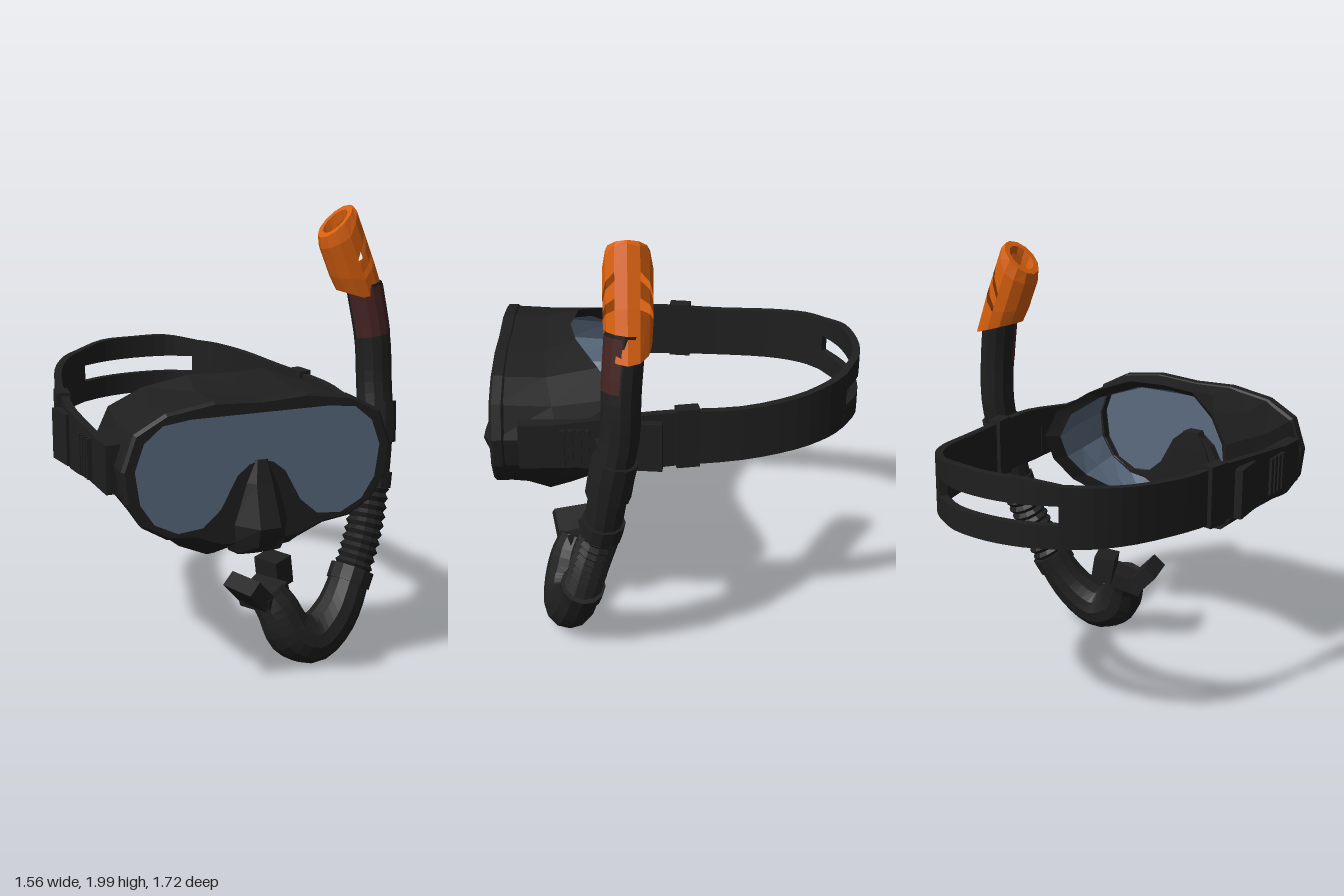
import * as THREE from 'three';

const V = (x, y, z) => new THREE.Vector3(x, y, z);
const MX = -0.125; // mask centre line

const mat = (name, color) => {
  const m = new THREE.MeshStandardMaterial({ color, flatShading: true, side: THREE.DoubleSide });
  m.name = name;
  return m;
};

// Skin a list of equal-length rings; cap closes the ends, skip leaves openings
function loft(rings, { cap = false, wrap = true, skip = () => false } = {}) {
  const rows = rings.slice();
  const n = rows[0].length;
  if (cap) {
    const collapse = r => {
      const c = r.reduce((a, p) => a.add(p), V(0, 0, 0)).divideScalar(n);
      return r.map(() => c);
    };
    rows.unshift(collapse(rings[0]));
    rows.push(collapse(rings[rings.length - 1]));
  }
  const pos = rows.flatMap(r => r.flatMap(p => [p.x, p.y, p.z]));
  const index = [];
  for (let i = 0; i < rows.length - 1; i++) {
    for (let j = 0; j < (wrap ? n : n - 1); j++) {
      if (skip(i, j)) continue;
      const a = i * n + j, b = i * n + (j + 1) % n;
      index.push(a, b, a + n, b, b + n, a + n);
    }
  }
  const g = new THREE.BufferGeometry();
  g.setAttribute('position', new THREE.Float32BufferAttribute(pos, 3));
  g.setIndex(index);
  g.computeVertexNormals();
  return g;
}

// Round tube of changing radius along part of a curve
function sweep(curve, t0, t1, steps, radius, { sides = 12, a0 = 0, a1 = Math.PI * 2, cap = true } = {}) {
  const full = a1 - a0 > 6.28;
  const rings = [];
  for (let i = 0; i <= steps; i++) {
    const t = t0 + (t1 - t0) * i / steps;
    const c = curve.getPoint(t), d = curve.getTangent(t);
    const n = V(0, 0, 1).cross(d).normalize();
    const b = d.clone().cross(n);
    rings.push(Array.from({ length: full ? sides : sides + 1 }, (_, j) => {
      const a = a0 + (a1 - a0) * j / sides, r = radius(t);
      return c.clone().addScaledVector(n, Math.cos(a) * r).addScaledVector(b, Math.sin(a) * r);
    }));
  }
  return loft(rings, { cap: full && cap, wrap: full });
}

// Flat band through [x, z, low, high] stations
function ribbon(stations, steps, thick = 0.034) {
  const lo = new THREE.CatmullRomCurve3(stations.map(s => V(s[0], s[2], s[1])), false, 'catmullrom');
  const hi = new THREE.CatmullRomCurve3(stations.map(s => V(s[0], s[3], s[1])), false, 'catmullrom');
  const rings = [];
  for (let i = 0; i <= steps; i++) {
    const t = i / steps, d = lo.getTangent(t).setY(0).normalize();
    const o = V(d.z, 0, -d.x).multiplyScalar(thick / 2);
    const l = lo.getPoint(t), h = hi.getPoint(t);
    rings.push([l.clone().add(o), h.clone().add(o), h.clone().sub(o), l.clone().sub(o)]);
  }
  return loft(rings, { cap: true });
}

// Mirror half of a mask outline [dx, y, z], listed from top centre to bottom centre
function mirrorRing(half, k = 1, dz = 0) {
  const p = ([x, y, z], s) => V(MX + s * x * k, 1 + (y - 1) * k, z + dz);
  return [...half.map(h => p(h, 1)), ...half.slice(1, -1).reverse().map(h => p(h, -1))];
}

export function createModel() {
  const group = new THREE.Group();
  const black = mat('blackRubber', 0x1f1f1f);
  const blue = mat('blueLens', 0x5a6b7f);
  const orange = mat('orangePlastic', 0xd8600f);
  const maroon = mat('darkRed', 0x442321);
  const add = (name, geo, m) => {
    const mesh = new THREE.Mesh(geo, m);
    mesh.name = name;
    group.add(mesh);
    return mesh;
  };
  const box = (name, x, y, z, w, h, d, rx = 0, ry = 0, rz = 0) => {
    const b = add(name, new THREE.BoxGeometry(w, h, d), black);
    b.position.set(x, y, z);
    b.rotation.set(rx, ry, rz);
  };

  // Mask outlines from the front frame to the face edge
  const front = [[0, 1.3], [.2, 1.31], [.4, 1.28], [.53, 1.21], [.58, 1.07], [.565, .94], [.5, .84],
    [.4, .78], [.28, .765], [.17, .72], [.08, .72], [0, .72]].map(p => [...p, .745]);
  const middle = [[0, 1.31, .55], [.2, 1.31, .55], [.39, 1.27, .53], [.51, 1.19, .5], [.57, 1.06, .48], [.55, .93, .5],
    [.48, .83, .54], [.39, .76, .6], [.28, .7, .64], [.17, .66, .67], [.08, .68, .67], [0, .69, .67]];
  const face = [[0, 1.35, .44], [.17, 1.35, .41], [.34, 1.29, .31], [.46, 1.2, .22], [.5, 1.08, .18], [.5, .95, .24],
    [.45, .83, .33], [.36, .74, .44], [.27, .66, .54], [.17, .63, .6], [.08, .65, .58], [0, .68, .56]];
  add('maskSkirt', loft([mirrorRing(front), mirrorRing(middle), mirrorRing(face), mirrorRing(face, .9, .05)]), black);
  add('skirtLining', loft([mirrorRing(face, .9, .05), mirrorRing(middle, .93), mirrorRing(front, .94, -.03)]), blue);

  // Lens and the frame around it
  const lensHalf = [[0, 1.26], [.3, 1.26], [.42, 1.245], [.5, 1.18], [.54, 1.07], [.52, .93], [.46, .84],
    [.36, .79], [.25, .8], [.17, .87], [.1, 1], [.05, 1.04], [0, 1.055]].map(p => [...p, 0]);
  const flat = half => mirrorRing(half).map(p => new THREE.Vector2(p.x, p.y));
  const frame = new THREE.Shape(flat(front));
  frame.holes.push(new THREE.Path(flat(lensHalf)));
  const frameGeo = new THREE.ExtrudeGeometry(frame, {
    depth: .04, bevelEnabled: true, bevelThickness: .012, bevelSize: .012, bevelOffset: -.006, bevelSegments: 1 });
  add('lensFrame', frameGeo.translate(0, 0, .712), black);
  const lensGeo = new THREE.ExtrudeGeometry(new THREE.Shape(flat(lensHalf)), { depth: .008, bevelEnabled: false });
  add('lens', lensGeo.translate(0, 0, .75), blue);

  // Nose pocket: [y, base half width, tip half width, tip z]
  add('nosePocket', loft([[1.06, .04, .02, .77], [.97, .09, .035, .795], [.8, .15, .045, .86],
    [.72, .14, .04, .83], [.67, .11, .03, .76]].map(([y, w, tw, z]) =>
    [V(MX - w, y, .69), V(MX - w * .85, y, .75), V(MX - tw, y, z), V(MX + tw, y, z), V(MX + w * .85, y, .75), V(MX + w, y, .69)]),
  { cap: true }), black);

  // Head strap: two sides joined by a split back
  add('strapRight', ribbon([[-.715, .5, .96, 1.15], [-.73, .2, .94, 1.19], [-.7, -.02, .95, 1.2], [-.66, -.25, .96, 1.2],
    [-.59, -.5, .975, 1.22], [-.5, -.66, .985, 1.24], [-.4, -.75, .99, 1.25]], 18), black);
  add('strapLeft', ribbon([[.465, .5, .96, 1.15], [.475, .2, .94, 1.19], [.455, -.02, .95, 1.2], [.43, -.3, .96, 1.2],
    [.37, -.53, .975, 1.22], [.28, -.68, .985, 1.24], [.19, -.76, .99, 1.25]], 18), black);
  const back = [[-.41, -.743], [-.27, -.81], [-.11, -.84], [.06, -.825], [.2, -.753]];
  add('strapBackUpper', ribbon(back.map(([x, z], i) => [x, z, 1.17, i % 4 ? 1.275 : 1.25]), 12), black);
  add('strapBackLower', ribbon(back.map(([x, z]) => [x, z, .99, 1.09]), 12), black);

  // Buckles, ribs and strap sliders on both sides
  for (const s of [-1, 1]) {
    const x = MX + s * .59;
    box('buckle', x - s * .01, 1.05, .53, .06, .2, .22);
    for (let i = 0; i < 4; i++) box('buckleRib', x + s * .015, 1.05, .35 + i * .035, .05, .17, .02);
    box('strapEnd', x + s * .035, 1.06, .11, .035, .22, .15, 0, -s * .12, 0);
    box('strapSlider', MX + s * .575, 1.08, -.07, .06, .27, .1, 0, s * .15, 0);
  }

  // Snorkel tube with a ribbed flexible section
  const path = new THREE.CatmullRomCurve3([V(.64, 1.64, .18), V(.68, 1.4, .2), V(.69, 1.2, .21), V(.68, 1, .25),
    V(.645, .76, .29), V(.585, .55, .345), V(.5, .36, .39), V(.4, .2, .44), V(.27, .113, .475), V(.155, .16, .48),
    V(.1, .27, .46), V(.06, .34, .43)], false, 'catmullrom');
  const at = i => i / 11;
  add('upperTube', sweep(path, 0, at(4), 14, () => .081), black);
  add('flexTube', sweep(path, at(4), at(6), 22, t => (Math.round(t * 121) % 2 ? .073 : .088)), black);
  add('lowerTube', sweep(path, at(6), 1, 18, t => .088 + .022 * Math.sin(Math.PI * Math.min(1, (t * 11 - 6) / 4.6))), black);
  add('upperCollar', sweep(path, at(3.85), at(4.15), 2, () => .093), black);
  add('lowerCollar', sweep(path, at(5.9), at(6.25), 2, () => .1), black);
  add('tubeAccent', sweep(path, at(.05), at(.95), 4, t => .085 - t * .02,
    { sides: 6, a0: .1, a1: Math.PI - .1 }), maroon);

  // Clip holding the tube to the strap
  add('clipRing', sweep(path, at(2.5), at(3.3), 2, () => .096), black);
  box('clipArm', .545, 1.03, .27, .17, .13, .07, 0, .2, 0);

  // Mouthpiece with two bite tabs
  box('mouthFlange', .05, .335, .42, .15, .07, .17, 0, .5, .35);
  box('biteTab', -.035, .37, .45, .075, .13, .18, 0, .3, .75);
  box('biteTab', .135, .41, .34, .1, .13, .13, 0, .4, .15);

  // Slotted cap: sloping open ends and two slots cut through front and back
  const axis = V(-.38, .925, 0), across = V(.925, .38, 0), base = V(.635, 1.58, .17);
  const capRing = (t, k) => Array.from({ length: 12 }, (_, j) => {
    const a = j * Math.PI / 6, u = Math.cos(a) * .105 * k;
    const v = -.8 * u * (1 - t) + (.37 + .4 * u) * t + 4.6 * t * (1 - t) * Math.max(u, 0);
    return base.clone().addScaledVector(axis, v).addScaledVector(across, u).add(V(0, 0, Math.sin(a) * .1 * k));
  });
  const capRows = [[0, .93], [.27, 1], [.34, 1], [.46, 1], [.53, 1], [.82, 1], [1, .88], [1, .62], [.85, .55]];
  add('snorkelCap', loft(capRows.map(([t, k]) => capRing(t, k)), {
    skip: (i, j) => (i === 1 || i === 3) && [1, 2, 9, 10].includes(j) }), orange);
  add('capBaseRim', loft([capRing(0, .93), capRing(.05, .7)]), orange);

  return group;
}
